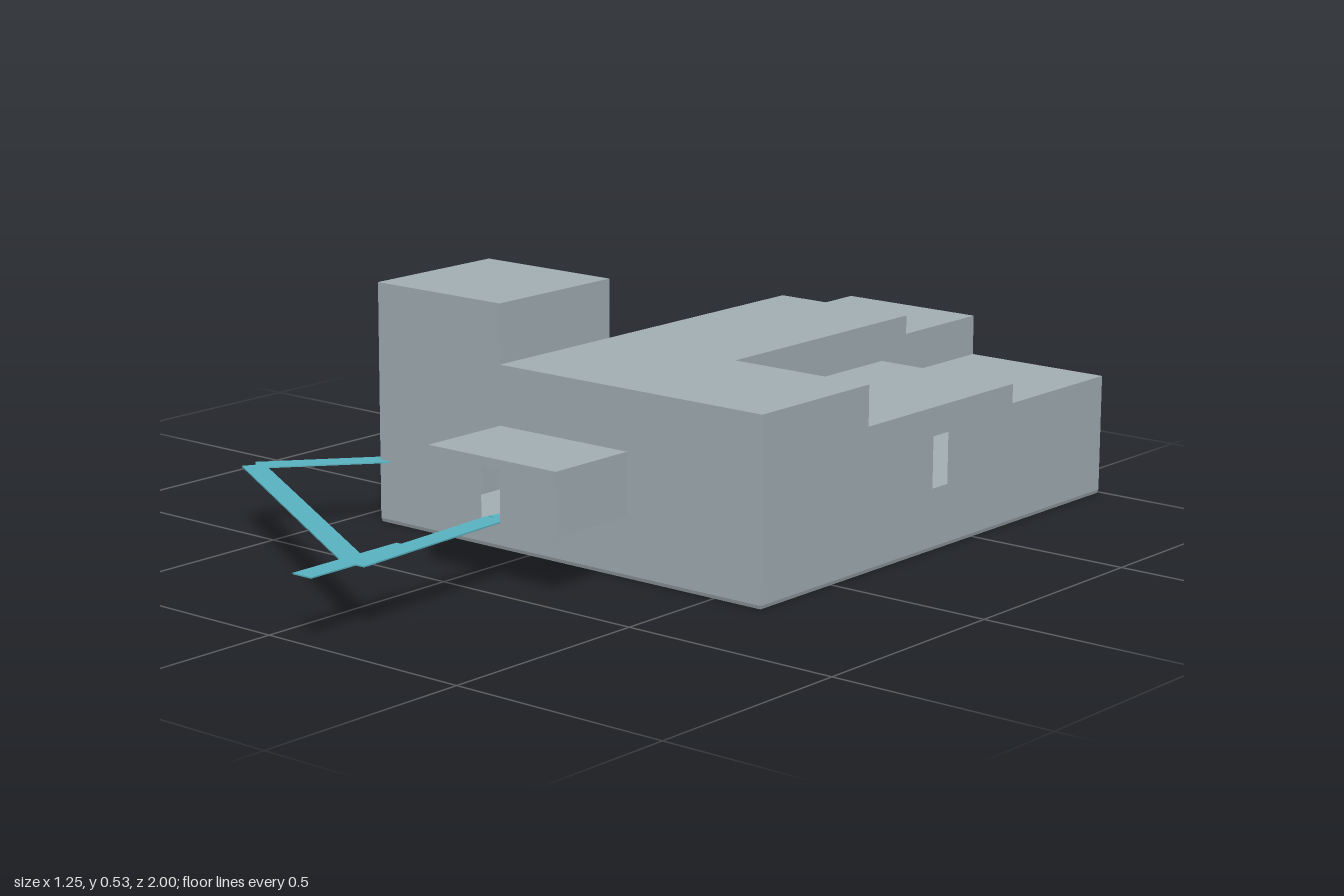
import * as THREE from 'three';
import { mergeGeometries } from 'three/addons/utils/BufferGeometryUtils.js';

// Flat rectangle in u,v with an optional rectangular hole [u0,u1,v0,v1]
function rect(u0, u1, v0, v1, hole) {
  const outline = (C, a, b, c, d) =>
    new C([[a, c], [b, c], [b, d], [a, d]].map(([u, v]) => new THREE.Vector2(u, v)));
  const s = outline(THREE.Shape, u0, u1, v0, v1);
  if (hole) s.holes.push(outline(THREE.Path, ...hole));
  return new THREE.ShapeGeometry(s);
}
const flip = (h) => h && [-h[1], -h[0], h[2], h[3]];

// Wall across x at depth z, facing dir * z
const wallZ = (x0, x1, y0, y1, z, dir, hole) =>
  (dir > 0 ? rect(x0, x1, y0, y1, hole) : rect(-x1, -x0, y0, y1, flip(hole)).rotateY(Math.PI)).translate(0, 0, z);
// Wall along z at side x, facing dir * x
const wallX = (z0, z1, y0, y1, x, dir, hole) =>
  (dir > 0 ? rect(-z1, -z0, y0, y1, flip(hole)).rotateY(Math.PI / 2)
    : rect(z0, z1, y0, y1, hole).rotateY(-Math.PI / 2)).translate(x, 0, 0);
// Horizontal surface facing up or down
const slab = (x0, x1, z0, z1, y, dir) =>
  (dir > 0 ? rect(x0, x1, -z1, -z0).rotateX(-Math.PI / 2)
    : rect(x0, x1, z0, z1).rotateX(Math.PI / 2)).translate(0, y, 0);

export function createModel() {
  const stone = new THREE.MeshStandardMaterial({ color: 0xa4b0b6, side: THREE.DoubleSide });
  stone.name = 'stone grey';
  const teal = new THREE.MeshStandardMaterial({ color: 0x5ab4c2 });
  teal.name = 'path teal';

  const group = new THREE.Group();
  const add = (name, geo, mat) => {
    const m = new THREE.Mesh(geo, mat);
    m.name = name;
    group.add(m);
  };

  // Stepped building: three columns in x, roof height for each strip in z
  const xs = [-0.432, -0.079, 0.271, 0.622];
  const zs = [0.237, -0.117, -0.47, -0.64, -0.73, -0.993];
  const heights = [
    [0.533, 0.27, 0.137, 0.137, 0.137],
    [0.402, 0.402, 0.402, 0.402, 0.36],
    [0.402, 0.313, 0.313, 0.27, 0.27],
  ];
  const base = 0.008;
  const porch = [xs[1], xs[2], 0.132, 0.27];
  const sideDoor = [-0.402, -0.348, 0.136, 0.25];
  const backDoor = [0.352, 0.408, 0.136, 0.25];
  const roofs = [], walls = [];

  for (let c = 0; c < 3; c++) {
    const [x0, x1] = [xs[c], xs[c + 1]];
    const h = heights[c];
    for (let r = 0; r < 5; r++) {
      const [z1, z0] = [zs[r], zs[r + 1]];
      roofs.push(slab(x0, x1, z0, z1, h[r], 1));
      // Step down towards the back
      if (r < 4 && h[r] > h[r + 1]) walls.push(wallZ(x0, x1, h[r + 1], h[r], z0, -1));
      // Step between neighbouring columns
      if (c < 2) {
        const n = heights[c + 1][r];
        if (n !== h[r]) walls.push(wallX(z0, z1, Math.min(n, h[r]), Math.max(n, h[r]), x1, h[r] > n ? 1 : -1));
      }
      // Outer side walls
      if (c === 0) walls.push(wallX(z0, z1, base, h[r], x0, -1));
      if (c === 2) walls.push(wallX(z0, z1, base, h[r], x1, 1, r === 1 ? sideDoor : null));
    }
    // Front and back walls, the middle front opening into the porch
    const inset = [porch[0] + 0.005, porch[1] - 0.005, porch[2] + 0.005, porch[3] - 0.005];
    walls.push(wallZ(x0, x1, base, h[0], zs[0], 1, c === 1 ? inset : null));
    walls.push(wallZ(x0, x1, base, h[4], zs[5], -1, c === 2 ? backDoor : null));
  }
  add('roofs', mergeGeometries(roofs), stone);
  add('walls', mergeGeometries(walls), stone);

  // Foundation with a barely tapered lower edge
  const foot = new THREE.BoxGeometry(xs[3] - xs[0], base, zs[0] - zs[5]).toNonIndexed();
  const p = foot.attributes.position;
  for (let i = 0; i < p.count; i++) {
    if (p.getY(i) < 0) p.setXYZ(i, p.getX(i) * 0.996, p.getY(i), p.getZ(i) * 0.996);
  }
  foot.computeVertexNormals();
  add('foundation', foot.translate((xs[0] + xs[3]) / 2, base / 2, (zs[0] + zs[5]) / 2), stone);

  // Inner floor seen through the doorways
  add('innerFloor', slab(-0.425, 0.615, -0.985, 0.23, 0.13, 1), stone);

  // Raised entrance porch with a doorway
  const [px0, px1, py0, py1] = porch;
  const [pz0, pz1] = [zs[0], 0.458];
  add('porch', mergeGeometries([
    wallZ(px0, px1, py0, py1, pz1, 1, [0.068, 0.12, 0.136, 0.25]),
    wallX(pz0, pz1, py0, py1, px0, -1),
    wallX(pz0, pz1, py0, py1, px1, 1),
    slab(px0, px1, pz0, pz1, py1, 1),
    slab(px0, px1, pz0, pz1, py0, -1),
  ]), stone);

  // Thin walkways: [name, x0, z0, x1, z1, width]
  const walkways = [
    ['porchWalkway', 0.092, 0.44, 0.116, 0.877, 0.05],
    ['frontWalkway', 0.094, 0.71, 0.094, 1.0, 0.05],
    ['longWalkway', 0.11, 0.866, -0.607, 0.452, 0.05],
    ['sideWalkway', -0.604, 0.446, -0.41, 0.21, 0.05],
    ['innerWalkway', 0.092, 0.44, 0.367, -0.997, 0.05],
  ];
  for (const [name, x0, z0, x1, z1, w] of walkways) {
    const [dx, dz] = [x1 - x0, z1 - z0];
    const geo = new THREE.BoxGeometry(w, 0.003, Math.hypot(dx, dz));
    geo.rotateY(Math.atan2(dx, dz)).translate((x0 + x1) / 2, 0.138, (z0 + z1) / 2);
    add(name, geo, teal);
  }
  return group;
}
